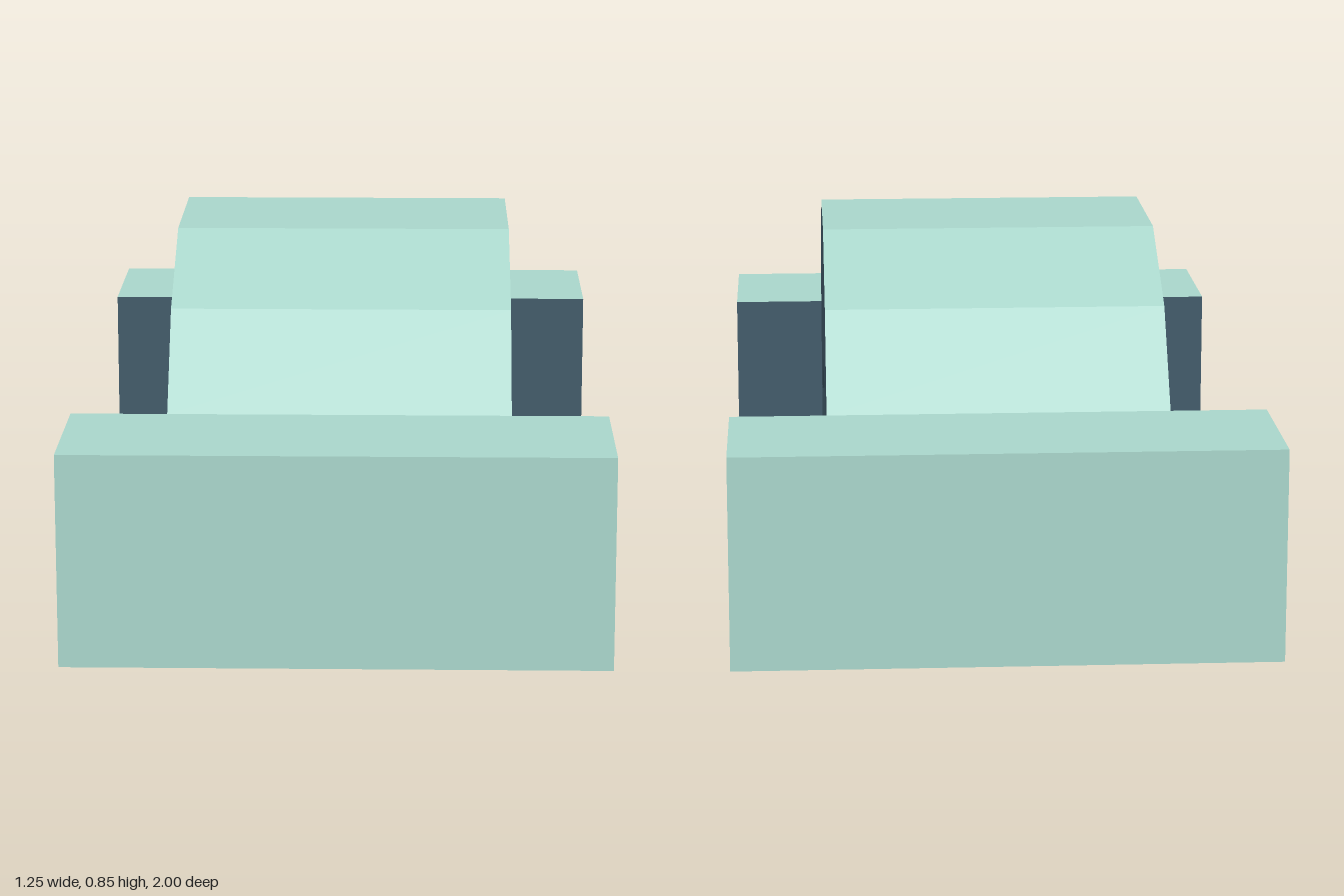
import * as THREE from 'three';

const mint = new THREE.MeshStandardMaterial({ color: 0xa8d5ca, flatShading: true });
mint.name = 'mint';
const slate = new THREE.MeshStandardMaterial({ color: 0x415a69, flatShading: true });
slate.name = 'slate';

// Outer half profile (z, y) of the arch from crown to springing, and its underside
const upper = [[0.2, 0.85], [0.47, 0.71], [0.63, 0.495]];
const lower = [[0.2, 0.44], [0.47, 0.295], [0.63, 0]];

// Full symmetric line from -z to +z
const mirrorLine = (half) => [...half.map(([z, y]) => [-z, y]).reverse(), ...half];

function createArch() {
  const outline = [...mirrorLine(lower), ...mirrorLine(upper).reverse()];
  const shape = new THREE.Shape(outline.map(([z, y]) => new THREE.Vector2(z, y)));
  const geometry = new THREE.ExtrudeGeometry(shape, { depth: 0.8, bevelEnabled: false });
  geometry.translate(0, 0, -0.4).rotateY(Math.PI / 2);

  // Upward faces are mint, the sides and underside slate
  geometry.clearGroups();
  const normal = geometry.attributes.normal;
  for (let i = 0; i < normal.count; i += 3) {
    geometry.addGroup(i, 3, normal.getY(i) > 0.1 ? 0 : 1);
  }
  const arch = new THREE.Mesh(geometry, [mint, slate]);
  arch.name = 'arch';
  return arch;
}

function createEndBlock(side) {
  const geometry = new THREE.BoxGeometry(1.25, 0.495, 0.37);
  // Face order +x, -x, +y, -y, +z, -z: top and outer face are mint
  const faces = [slate, slate, mint, slate, side > 0 ? mint : slate, side > 0 ? slate : mint];
  const block = new THREE.Mesh(geometry, faces);
  block.position.set(0, 0.2475, side * 0.815);
  block.name = side > 0 ? 'frontBlock' : 'backBlock';
  return block;
}

export function createModel() {
  const model = new THREE.Group();
  model.name = 'archBridge';
  model.add(createArch(), createEndBlock(1), createEndBlock(-1));
  return model;
}
